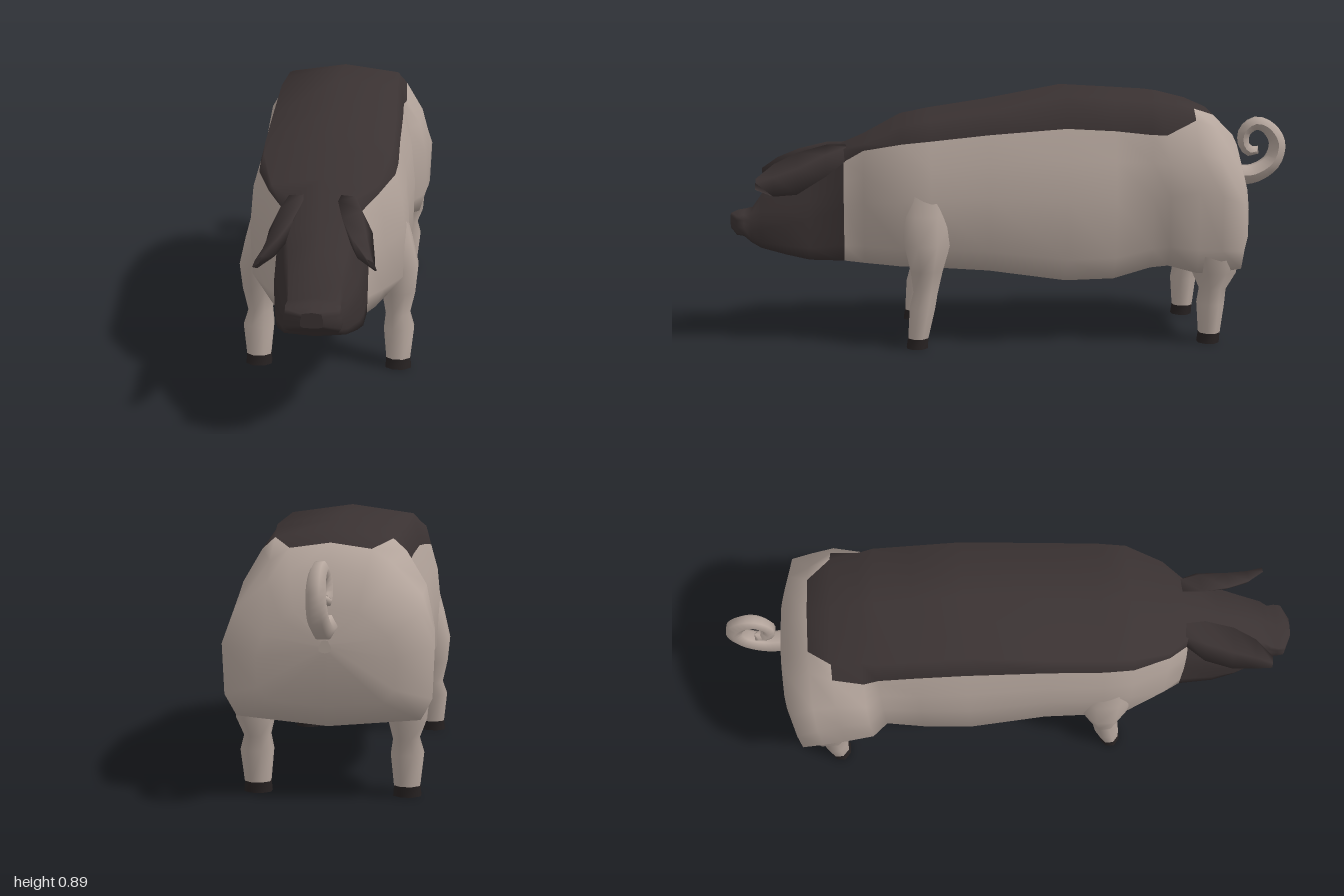
import * as THREE from 'three';

const paint = (name, color) => {
  const m = new THREE.MeshStandardMaterial({ color });
  m.name = name;
  return m;
};
const skin = paint('pale skin', 0xb5a69d);
const hide = paint('dark hide', 0x3a3232);
const horn = paint('hoof horn', 0x262121);

// Skins a list of rings; each ring turns counterclockwise about the loft direction.
// slot(i, j) picks the material index of a quad; both ends get hard-edged caps.
function loft(name, rings, materials, slot = () => 0) {
  const n = rings[0].length;
  const pos = rings.flat(2);
  const faces = materials.map(() => []);
  for (let i = 0; i < rings.length - 1; i++) {
    for (let j = 0; j < n; j++) {
      const a = i * n + j, b = i * n + (j + 1) % n;
      faces[slot(i, j)].push(a, b, b + n, a, b + n, a + n);
    }
  }
  for (const end of [0, rings.length - 1]) {
    const ring = rings[end], base = pos.length / 3;
    const centre = [0, 1, 2].map(k => ring.reduce((s, p) => s + p[k], 0) / n);
    pos.push(...ring.flat(), ...centre);
    const list = faces[slot(Math.min(end, rings.length - 2), 0)];
    for (let j = 0; j < n; j++) {
      const a = base + j, b = base + (j + 1) % n;
      list.push(...(end ? [a, b, base + n] : [b, a, base + n]));
    }
  }
  const geo = new THREE.BufferGeometry();
  geo.setAttribute('position', new THREE.Float32BufferAttribute(pos, 3));
  geo.setIndex(faces.flat());
  let start = 0;
  faces.forEach((f, k) => { geo.addGroup(start, f.length, k); start += f.length; });
  geo.computeVertexNormals();
  const mesh = new THREE.Mesh(geo, materials.length > 1 ? materials : materials[0]);
  mesh.name = name;
  return mesh;
}

// Body sections, snout to rump: z, top, bottom, back half width, saddle line y, widest, belly half width
const BODY = [
  [1.0, 0.445, 0.395, 0.03, 0.43, 0.035, 0.03],
  [0.975, 0.456, 0.375, 0.082, 0.43, 0.089, 0.08],
  [0.95, 0.46, 0.37, 0.085, 0.43, 0.09, 0.08],
  [0.925, 0.465, 0.345, 0.08, 0.43, 0.085, 0.075],
  [0.89, 0.515, 0.325, 0.08, 0.46, 0.105, 0.095],
  [0.80, 0.57, 0.30, 0.09, 0.51, 0.135, 0.125],
  [0.72, 0.62, 0.28, 0.10, 0.55, 0.145, 0.14],
  [0.60, 0.695, 0.27, 0.11, 0.635, 0.15, 0.145],
  [0.53, 0.725, 0.262, 0.17, 0.68, 0.20, 0.17],
  [0.40, 0.795, 0.25, 0.21, 0.705, 0.26, 0.20],
  [0.30, 0.815, 0.245, 0.215, 0.715, 0.27, 0.20],
  [0.10, 0.845, 0.228, 0.215, 0.735, 0.265, 0.20],
  [-0.17, 0.895, 0.185, 0.21, 0.755, 0.28, 0.20],
  [-0.34, 0.885, 0.19, 0.21, 0.745, 0.27, 0.20],
  [-0.47, 0.877, 0.23, 0.21, 0.73, 0.26, 0.20],
  [-0.52, 0.87, 0.25, 0.20, 0.73, 0.312, 0.27],
  [-0.62, 0.845, 0.22, 0.19, 0.78, 0.322, 0.29],
  [-0.70, 0.81, 0.225, 0.13, 0.75, 0.33, 0.29],
  [-0.775, 0.735, 0.24, 0.12, 0.69, 0.335, 0.29],
  [-0.815, 0.62, 0.31, 0.10, 0.58, 0.22, 0.18],
  [-0.83, 0.52, 0.48, 0.01, 0.51, 0.02, 0.01],
];
const HEAD_END = 7, SADDLE_END = 16;

function bodyRing([z, top, bottom, xBack, yLine, xMax, xBelly]) {
  const h = yLine - bottom, lerp = THREE.MathUtils.lerp;
  const half = [
    [xBack, top - 0.14 * xBack, z],
    [lerp(xBack, xMax, 0.32), yLine, z],
    [lerp(xBack, xMax, 0.8), bottom + 0.81 * h, z],
    [xMax, bottom + 0.57 * h, z],
    [xMax * 0.98, bottom + 0.21 * h, z],
    [xBelly, bottom + 0.06 * h, z],
  ];
  const mirrored = half.map(([x, y]) => [-x, y, z]).reverse();
  return [[0, top, z], ...half, [0, bottom, z], ...mirrored];
}

// Head is all dark; behind it only the bands over the back are, narrowing at the rump
function bodySlot(i, j) {
  const band = Math.min(j, 13 - j);
  if (i < HEAD_END) return 1;
  if (i < SADDLE_END) return band < 2 ? 1 : 0;
  return i === SADDLE_END && band < 1 ? 1 : 0;
}

// Leg sections, top to ground: y, centre x, centre z, x radius, z radius
const FRONT_LEG = [
  [0.58, 0.19, 0.32, 0.06, 0.09],
  [0.46, 0.215, 0.318, 0.068, 0.095],
  [0.36, 0.232, 0.315, 0.075, 0.08],
  [0.27, 0.24, 0.318, 0.058, 0.056],
  [0.19, 0.238, 0.322, 0.042, 0.042],
  [0.14, 0.243, 0.333, 0.053, 0.044],
  [0.035, 0.242, 0.348, 0.042, 0.035],
];
const HIND_LEG = [
  [0.32, 0.245, -0.68, 0.065, 0.095],
  [0.25, 0.245, -0.688, 0.06, 0.075],
  [0.19, 0.24, -0.685, 0.042, 0.045],
  [0.14, 0.243, -0.678, 0.053, 0.046],
  [0.035, 0.242, -0.675, 0.042, 0.036],
];
const legRing = side => ([y, cx, cz, rx, rz]) =>
  Array.from({ length: 8 }, (_, k) => {
    const a = (k + 0.5) * Math.PI / 4;
    return [side * cx + rx * 1.06 * Math.cos(a), y, cz + rz * 1.06 * Math.sin(a)];
  });

function leg(name, sections, side) {
  const group = new THREE.Group();
  group.name = name;
  const ankle = sections.at(-1);
  const sole = [0, ankle[1], ankle[2] + 0.004, 0.045, 0.037];
  group.add(loft('shank', sections.map(legRing(side)), [skin]));
  group.add(loft('hoof', [ankle, sole].map(legRing(side)), [horn]));
  return group;
}

// Drooping ear flap sections: z, upper edge x y, lower edge x y, half thickness
const EAR = [
  [0.59, 0.06, 0.69, 0.125, 0.64, 0.025],
  [0.66, 0.055, 0.69, 0.165, 0.59, 0.03],
  [0.76, 0.075, 0.665, 0.178, 0.53, 0.03],
  [0.84, 0.11, 0.63, 0.182, 0.525, 0.022],
  [0.90, 0.16, 0.585, 0.19, 0.55, 0.008],
];
function ear(name, side) {
  const rings = EAR.map(([z, x0, y0, x1, y1, t]) => {
    const len = Math.hypot(x1 - x0, y1 - y0);
    const nx = (y0 - y1) / len * t, ny = (x1 - x0) / len * t;
    const mx = (x0 + x1) / 2, my = (y0 + y1) / 2;
    const ring = [[x1, y1, z], [mx + nx, my + ny, z], [x0, y0, z], [mx - nx, my - ny, z]];
    return side > 0 ? ring : ring.map(([x, y]) => [-x, y, z]).reverse();
  });
  return loft(name, rings, [hide]);
}

// Curled tail, tapering to its tip
function tail() {
  const path = new THREE.CatmullRomCurve3([
    [0, 0.565, -0.79], [0, 0.565, -0.88], [0.003, 0.61, -0.95], [0.006, 0.68, -0.967],
    [0.006, 0.735, -0.93], [0.003, 0.748, -0.885], [-0.003, 0.715, -0.847],
    [-0.008, 0.665, -0.85], [-0.01, 0.645, -0.88], [-0.01, 0.665, -0.9],
  ].map(p => new THREE.Vector3(...p)));
  const steps = 28, sides = 6;
  const geo = new THREE.TubeGeometry(path, steps, 0.041, sides);
  const p = geo.attributes.position, v = new THREE.Vector3();
  for (let i = 0; i < p.count; i++) {
    const t = Math.floor(i / (sides + 1)) / steps;
    const c = path.getPointAt(t);
    v.fromBufferAttribute(p, i).sub(c).multiplyScalar(t === 1 ? 0 : 1 - 0.52 * t).add(c);
    p.setXYZ(i, v.x, v.y, v.z);
  }
  geo.computeVertexNormals();
  const mesh = new THREE.Mesh(geo, skin);
  mesh.name = 'tail';
  return mesh;
}

export function createModel() {
  const pig = new THREE.Group();
  pig.name = 'pig';
  pig.add(loft('body', BODY.map(bodyRing), [skin, hide], bodySlot));
  for (const [label, side] of [['left', 1], ['right', -1]]) {
    pig.add(leg(label + ' front leg', FRONT_LEG, side));
    pig.add(leg(label + ' hind leg', HIND_LEG, side));
    pig.add(ear(label + ' ear', side));
  }
  pig.add(tail());
  return pig;
}
